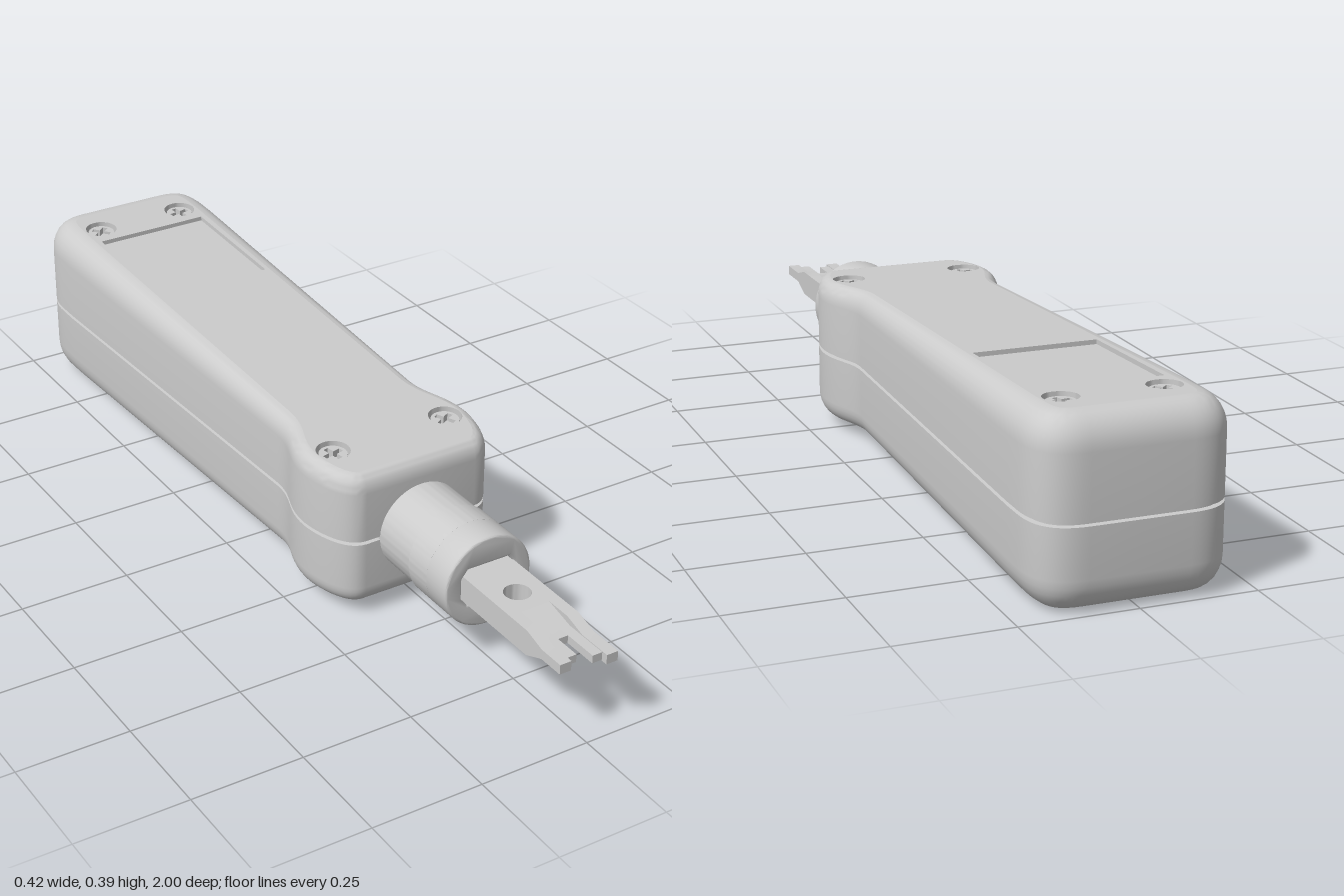
import * as THREE from 'three';
import { toCreasedNormals } from 'three/addons/utils/BufferGeometryUtils.js';

const material = new THREE.MeshStandardMaterial({ color: 0xcccccc });
const SEAM = 0.183;
const TOP_SLOPE = 0.0392, BOTTOM_SLOPE = 0.0224;
const topY = z => 0.341 + (0.4 - z) * TOP_SLOPE;
const bottomY = z => 0.0305 - (0.4 - z) * BOTTOM_SLOPE;
const HOLE = 0.037;
const SCREWS = [[-0.108, -0.86, 0.7], [0.108, -0.86, 0.15], [-0.141, 0.275, 0.2], [0.141, 0.275, 0.5]];

function add(parent, name, geometry, crease = 0.6) {
  const mesh = new THREE.Mesh(toCreasedNormals(geometry, crease), material);
  mesh.name = name;
  parent.add(mesh);
}

function polygon(points) {
  return new THREE.Shape(points.map(([x, y]) => new THREE.Vector2(x, y)));
}

// Closed plan outline of the handle, as (x, z)
function handleOutline() {
  const s = new THREE.Shape();
  s.moveTo(0, -1);
  s.lineTo(0.105, -1);
  s.bezierCurveTo(0.175, -1, 0.207, -0.965, 0.207, -0.89);
  s.lineTo(0.207, -0.84);
  s.lineTo(0.175, 0.1);
  s.bezierCurveTo(0.174, 0.17, 0.21, 0.19, 0.209, 0.27);
  s.bezierCurveTo(0.206, 0.32, 0.185, 0.4, 0.135, 0.4);
  s.lineTo(0, 0.4);
  const half = s.getPoints(12);
  const mirrored = half.slice(1, -1).reverse().map(p => new THREE.Vector2(-p.x, p.y));
  return [...half, ...mirrored];
}

function buildHandle(parent) {
  const outline = handleOutline();
  const n = outline.length;
  const normals = outline.map((p, i) => {
    const t = outline[(i + 1) % n].clone().sub(outline[(i + n - 1) % n]).normalize();
    return new THREE.Vector2(t.y, -t.x);
  });
  const blend = z => (0.4 - z) / 1.4;

  // Rounded rims grow towards the back
  const rim = (angle, face, sign) => outline.map((p, i) => {
    const b = blend(p.y);
    const inset = (0.027 + 0.033 * b) * (1 - Math.cos(angle));
    const x = p.x - normals[i].x * inset, z = p.y - normals[i].y * inset;
    return [x, face(z) - sign * (0.04 + 0.033 * b) * (1 - Math.sin(angle)), z];
  });
  const band = (inset, y) => outline.map((p, i) =>
    [p.x - normals[i].x * inset, y, p.y - normals[i].y * inset]);

  // Rings from the bottom rim, over the seam groove, to the top rim
  const rings = [];
  const steps = 7;
  for (let k = steps; k >= 0; k--) rings.push(rim(k / steps * Math.PI / 2, bottomY, -1));
  rings.push(band(0, SEAM - 0.004), band(0.012, SEAM - 0.003), band(0.012, SEAM + 0.003), band(0, SEAM + 0.004));
  for (let k = 0; k <= steps; k++) rings.push(rim(k / steps * Math.PI / 2, topY, 1));

  const index = [];
  for (let j = 0; j < rings.length - 1; j++) {
    for (let i = 0; i < n; i++) {
      const a = j * n + i, b = j * n + (i + 1) % n;
      index.push(a, a + n, b, b, a + n, b + n);
    }
  }
  const side = new THREE.BufferGeometry();
  side.setAttribute('position', new THREE.Float32BufferAttribute(rings.flat(2), 3));
  side.setIndex(index);
  add(parent, 'handleShell', side, 0.7);

  // Sloping top and bottom faces, open over the screws and the label recess
  const cap = (ring, dir, face, name) => {
    const shape = polygon(ring.map(p => [p[0], -dir * p[2]]));
    for (const [x, z] of SCREWS) shape.holes.push(new THREE.Path().absarc(x, -dir * z, HOLE, 0, Math.PI * 2));
    if (dir > 0) shape.holes.push(polygon([[-0.137, 0.8], [0.137, 0.8], [0.137, 0.485], [-0.137, 0.485]]));
    const g = new THREE.ShapeGeometry(shape, 16).rotateX(-dir * Math.PI / 2);
    const pos = g.attributes.position;
    for (let i = 0; i < pos.count; i++) pos.setY(i, face(pos.getZ(i)));
    add(parent, name, g);
  };
  cap(rings[rings.length - 1], 1, topY, 'handleTop');
  cap(rings[0], -1, bottomY, 'handleBottom');

  // Shallow tray: a box turned inside out, without its lid
  const tray = new THREE.BoxGeometry(0.274, 0.01, 0.315).scale(1, -1, 1).translate(0, -0.005, -0.6425);
  const faces = Array.from(tray.index.array);
  faces.splice(18, 6);
  tray.setIndex(faces);
  const pos = tray.attributes.position;
  for (let i = 0; i < pos.count; i++) pos.setY(i, pos.getY(i) + topY(pos.getZ(i)));
  add(parent, 'labelRecess', tray);
}

// Cross-head screw sunk in a round hole
function buildScrew(x, z, turn, up) {
  const screw = new THREE.Group();
  screw.name = 'screw';
  const cup = [[HOLE, 0], [HOLE, -0.026], [0, -0.026]].map(([r, y]) => new THREE.Vector2(r, y));
  add(screw, 'screwHole', new THREE.LatheGeometry(cup, 32));
  const head = new THREE.Shape().absarc(0, 0, 0.031, 0, Math.PI * 2);
  const a = 0.006, b = 0.023;
  head.holes.push(polygon([[a, a], [a, b], [-a, b], [-a, a], [-b, a], [-b, -a],
    [-a, -a], [-a, -b], [a, -b], [a, -a], [b, -a], [b, a]]));
  const g = new THREE.ExtrudeGeometry(head, { depth: 0.018, bevelEnabled: false, curveSegments: 14 });
  add(screw, 'screwHead', g.rotateX(-Math.PI / 2).rotateY(turn).translate(0, -0.026, 0));
  screw.position.set(x, up ? topY(z) : bottomY(z), z);
  screw.rotation.x = up ? Math.atan(TOP_SLOPE) : Math.PI - Math.atan(BOTTOM_SLOPE);
  return screw;
}

// Ring round the z axis from z0 to z1, with an optional gap around +x
function ringBand(z0, z1, r0, r1, gap = 0) {
  const s = new THREE.Shape();
  s.absarc(0, 0, r1, gap, Math.PI * 2 - gap, false);
  if (gap) s.absarc(0, 0, r0, Math.PI * 2 - gap, gap, true);
  else s.holes.push(new THREE.Path().absarc(0, 0, r0, 0, Math.PI * 2, true));
  return new THREE.ExtrudeGeometry(s, { depth: z1 - z0, bevelEnabled: false, curveSegments: 48 }).translate(0, 0, z0);
}

function buildCollar(parent) {
  const collar = new THREE.Group();
  collar.name = 'collar';
  collar.position.y = SEAM;
  parent.add(collar);
  add(collar, 'collarCore', new THREE.CylinderGeometry(0.097, 0.097, 0.24, 48).rotateX(Math.PI / 2).translate(0, 0, 0.48));
  add(collar, 'collarBase', ringBand(0.38, 0.512, 0.09, 0.102));
  add(collar, 'collarSlotBand', ringBand(0.514, 0.58, 0.09, 0.105, 0.25));

  // Front ring with the eight-sided blade opening; its back edge sits inside the slot band
  const face = new THREE.Shape().absarc(0, 0, 0.105, 0, Math.PI * 2);
  face.holes.push(polygon([[0.065, 0.024], [0.05, 0.043], [-0.05, 0.043], [-0.065, 0.024],
    [-0.065, -0.024], [-0.05, -0.043], [0.05, -0.043], [0.065, -0.024]]));
  const g = new THREE.ExtrudeGeometry(face, {
    depth: 0.073, bevelThickness: 0.005, bevelSize: 0.005, bevelOffset: -0.005, bevelSegments: 3, curveSegments: 24,
  });
  add(collar, 'collarFront', g.translate(0, 0, 0.572));
}

// Side profile (z, y) swept from x0 to x1
function profileBar(x0, x1, points) {
  const g = new THREE.ExtrudeGeometry(polygon(points.map(([z, y]) => [-z, y])), { depth: x1 - x0, bevelEnabled: false });
  return g.rotateY(Math.PI / 2).translate(x0, 0, 0);
}

function buildBlade(parent) {
  const blade = new THREE.Group();
  blade.name = 'blade';
  parent.add(blade);
  const lo = 0.155, hi = 0.213;

  // Flat shank with its round hole
  const shank = polygon([[-0.062, -0.56], [-0.062, -0.81], [0.062, -0.81], [0.062, -0.56]]);
  shank.holes.push(new THREE.Path().absarc(0, -0.75, 0.029, 0, Math.PI * 2, true));
  const g = new THREE.ExtrudeGeometry(shank, { depth: hi - lo, bevelEnabled: false, curveSegments: 16 });
  add(blade, 'bladeShank', g.rotateX(-Math.PI / 2).translate(0, lo, 0));

  // Two prongs: full-height outer rails, thinner inner strips
  for (const s of [-1, 1]) {
    const end = s > 0 ? 1 : 0.98;
    const span = (a, b) => (s > 0 ? [a, b] : [-b, -a]);
    add(blade, 'prongRail', profileBar(...span(0.035, 0.062), [[0.81, lo], [0.87, lo], [0.92, 0.176],
      [end, 0.176], [end, 0.198], [0.92, 0.198], [0.87, hi], [0.81, hi]]));
    add(blade, 'prongStrip', profileBar(...span(0.012, 0.035), [[0.81, lo], [0.88, 0.178],
      [end - 0.015, 0.178], [end - 0.015, 0.196], [0.88, 0.196], [0.81, hi]]));
  }
  add(blade, 'bladeWeb', profileBar(-0.012, 0.012, [[0.81, lo], [0.88, 0.178], [0.905, 0.178],
    [0.905, 0.196], [0.88, 0.196], [0.81, hi]]));
}

export function createModel() {
  const model = new THREE.Group();
  model.name = 'punchDownTool';
  buildHandle(model);
  for (const up of [true, false]) {
    for (const [x, z, turn] of SCREWS) model.add(buildScrew(x, z, turn, up));
  }
  buildCollar(model);
  buildBlade(model);
  return model;
}
